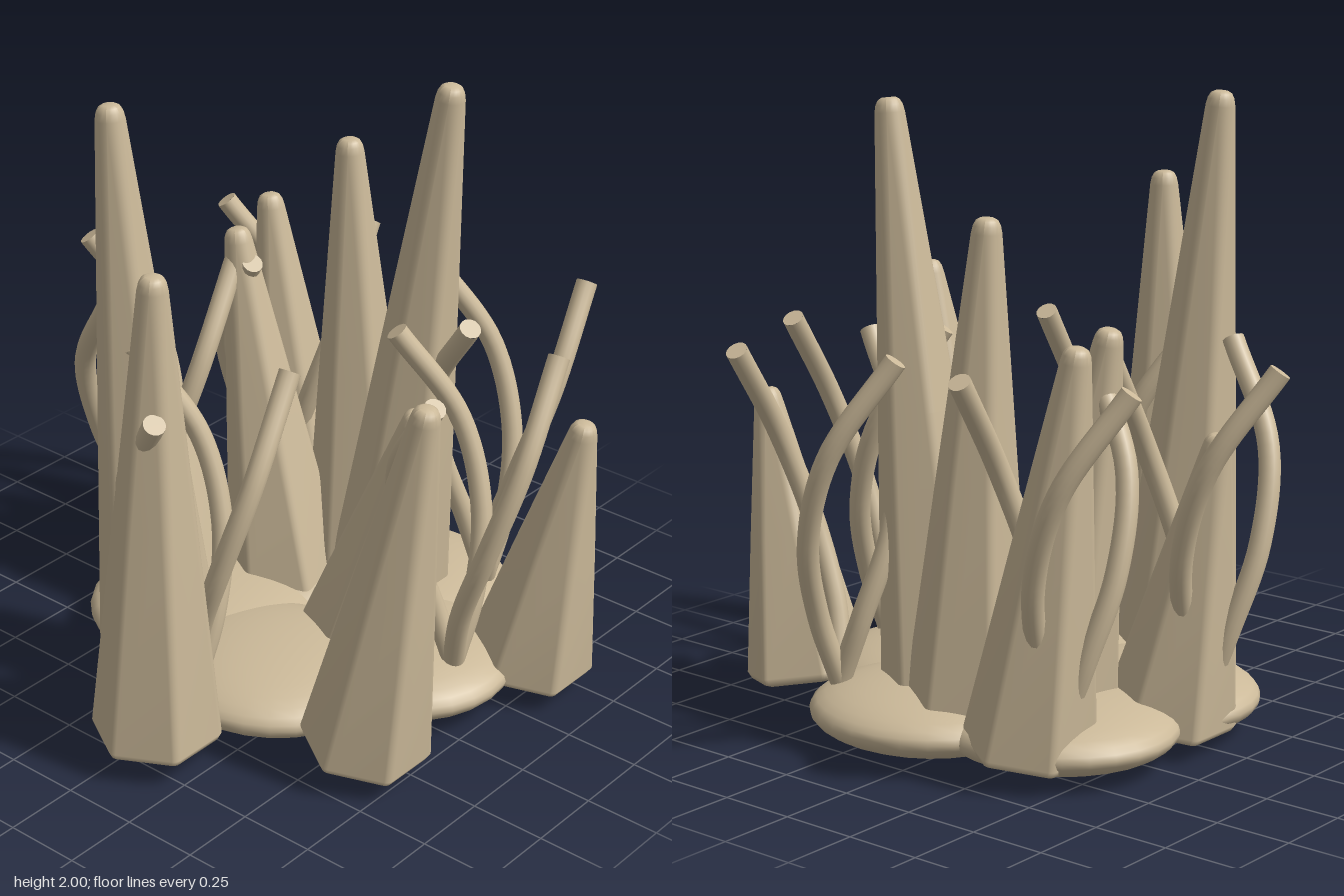
import * as THREE from 'three';

const stone = new THREE.MeshStandardMaterial({ color: 0xcbb999 });
stone.name = 'sandstone';

function part(geometry, name) {
  const mesh = new THREE.Mesh(geometry, stone);
  mesh.name = name;
  return mesh;
}

// Tapered hexagonal spire with softened corners, lofted from ring to ring.
// Each ring is [height, hexagon radius, corner radius].
function spireGeometry(length) {
  const rings = [
    [0, 0, 0], [0, 0.158, 0.02], [0.008, 0.172, 0.025], [0.03, 0.178, 0.03],
    [length * 0.5, 0.09, 0.0375],
    [length - 0.045, 0.002, 0.045], [length - 0.022, 0, 0.042],
    [length - 0.007, 0, 0.034], [length, 0, 0.022], [length, 0, 0],
  ];
  const arc = 4, n = 6 * (arc + 1), positions = [], index = [];
  for (const [y, hex, round] of rings) {
    for (let k = 0; k < 6; k++) {
      const corner = Math.PI / 2 + k * Math.PI / 3;
      for (let s = 0; s <= arc; s++) {
        const a = corner + (s / arc - 0.5) * Math.PI / 3;
        positions.push(
          Math.cos(corner) * hex + Math.cos(a) * round, y,
          Math.sin(corner) * hex + Math.sin(a) * round);
      }
    }
  }
  for (let i = 0; i < rings.length - 1; i++) {
    for (let j = 0; j < n; j++) {
      const a = i * n + j, b = i * n + (j + 1) % n;
      index.push(a, a + n, b, b, a + n, b + n);
    }
  }
  const geometry = new THREE.BufferGeometry();
  geometry.setAttribute('position', new THREE.Float32BufferAttribute(positions, 3));
  geometry.setIndex(index);
  geometry.computeVertexNormals();
  return geometry;
}

function spire(baseX, tipX, z, height) {
  const base = new THREE.Vector3(baseX, 0.08, z);
  const axis = new THREE.Vector3(tipX, height, z).sub(base);
  const mesh = part(spireGeometry(axis.length()), 'spire');
  mesh.position.copy(base);
  mesh.quaternion.setFromUnitVectors(new THREE.Vector3(0, 1, 0), axis.normalize());
  return mesh;
}

// Spiralling stalk with flat ends; points are [height, radius, angle].
function stalk(turn) {
  const spiral = [[0.18, 0, 0], [0.4, 0.08, 160], [0.66, 0.165, 140], [0.95, 0.22, 113], [1.25, 0.3, 69]];
  const points = spiral.map(([y, r, deg]) => {
    const a = (deg + turn) * Math.PI / 180;
    return new THREE.Vector3(Math.cos(a) * r, y, Math.sin(a) * r);
  });
  const curve = new THREE.CatmullRomCurve3(points);
  const radius = 0.035;
  const group = new THREE.Group();
  group.name = 'stalk';
  group.add(part(new THREE.TubeGeometry(curve, 32, radius, 14), 'stalkTube'));
  for (const t of [0, 1]) {
    const cap = part(new THREE.CircleGeometry(radius, 14), 'stalkEnd');
    const out = curve.getTangentAt(t).multiplyScalar(t ? 1 : -1);
    cap.position.copy(curve.getPointAt(t));
    cap.quaternion.setFromUnitVectors(new THREE.Vector3(0, 0, 1), out);
    group.add(cap);
  }
  return group;
}

export function createModel() {
  const model = new THREE.Group();
  model.name = 'spireCluster';

  // Five flattened mounds in a ring
  for (let i = 0; i < 5; i++) {
    const a = i * Math.PI * 2 / 5;
    const mound = part(new THREE.SphereGeometry(1, 28, 18), 'baseMound');
    mound.scale.set(0.39, 0.107, 0.36);
    mound.position.set(0.01 + Math.cos(a) * 0.37, 0.108, -0.145 + Math.sin(a) * 0.36);
    model.add(mound);
  }

  // Leaning spires: base x, tip x, z, height
  const spires = [
    [-0.18, -0.35, 0.38, 2.0], [0.12, 0.335, -0.41, 2.0],
    [-0.03, -0.12, -0.48, 1.68], [0.07, 0.097, 0.68, 1.68],
    [0.61, 0.82, 0.31, 1.35], [-0.33, -0.52, -0.55, 1.35], [-0.19, -0.42, -0.27, 1.35],
    [0.22, 0.445, -0.14, 1.02], [-0.48, -0.66, -0.04, 1.02], [0.71, 0.88, -0.42, 1.02],
  ];
  for (const s of spires) model.add(spire(...s));

  // Clusters of three stalks
  const roots = [[0.62, -0.13], [0.06, 0.48], [0.38, -0.62], [-0.45, -0.54], [-0.6, -0.02]];
  for (const [x, z] of roots) {
    const cluster = new THREE.Group();
    cluster.name = 'stalkCluster';
    cluster.position.set(x, 0, z);
    for (const turn of [0, 120, 240]) cluster.add(stalk(turn));
    model.add(cluster);
  }
  return model;
}
